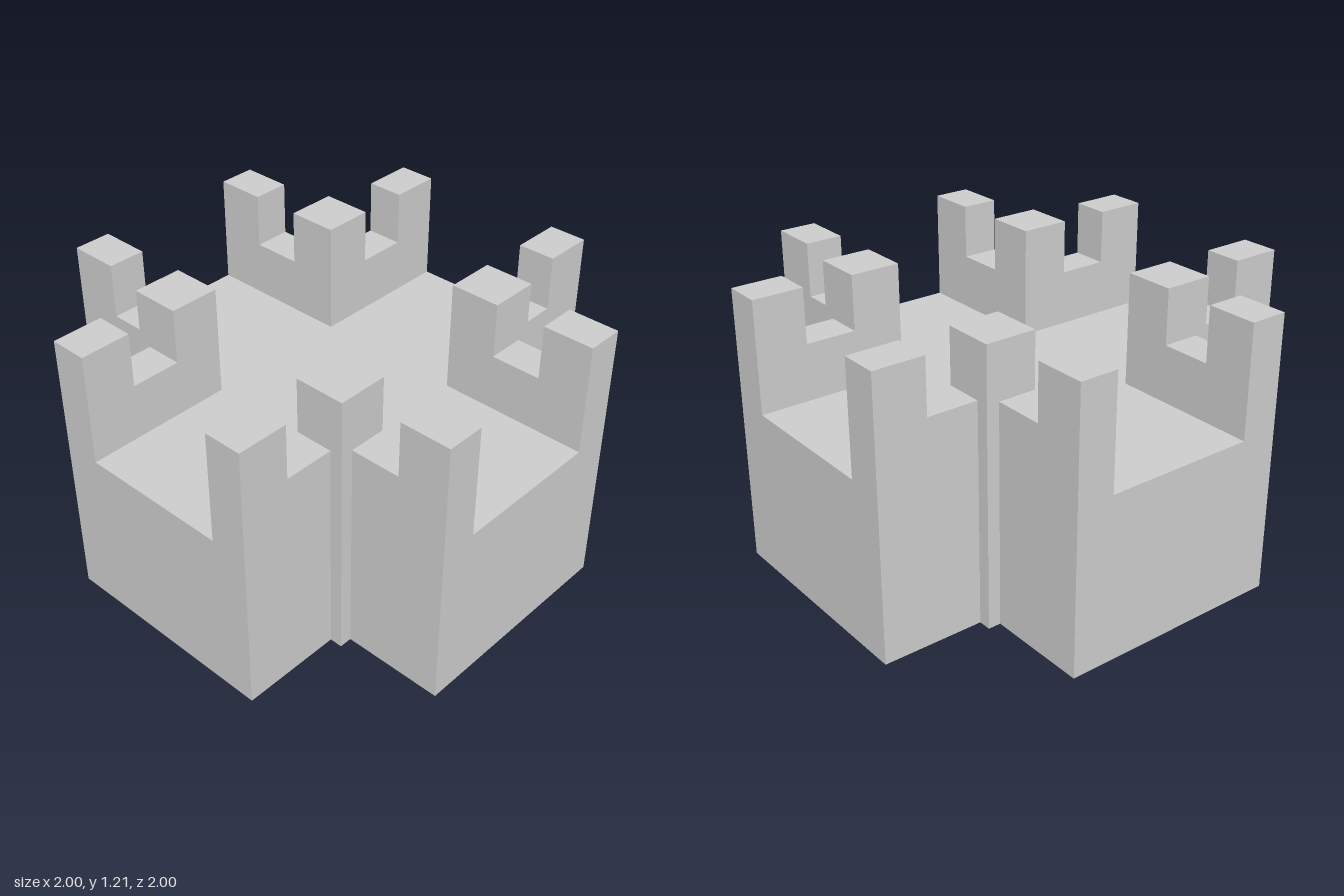
import * as THREE from 'three';

const DECK = 1 / 3, ARM = 0.5, PIER = 5 / 9, GAP = 7 / 9;
const HEIGHT = { deck: 0.72, crenels: 0.967, endMerlons: 1.207, cornerPiers: 1.207 };

// Which part of the castle stands on a point of the plan (same in all eight octants)
function partAt(x, z) {
  const far = Math.max(Math.abs(x), Math.abs(z));
  const near = Math.min(Math.abs(x), Math.abs(z));
  if (far > 1) return null;
  if (near < DECK) return 'deck';
  if (far < PIER) return 'cornerPiers';
  if (near > ARM) return null;
  return far < GAP ? 'crenels' : 'endMerlons';
}

export function createModel() {
  const group = new THREE.Group();
  group.name = 'castle';
  const material = new THREE.MeshStandardMaterial({
    color: 0xcccccc, flatShading: true, side: THREE.DoubleSide,
  });
  const faces = { outerWalls: [], deck: [], crenels: [], endMerlons: [], cornerPiers: [] };

  const quad = (part, a, b, c, d) => faces[part].push(...a, ...b, ...c, ...a, ...c, ...d);
  const wall = (part, p, q, low, high) => quad(part,
    [p[0], low, p[1]], [q[0], low, q[1]], [q[0], high, q[1]], [p[0], high, p[1]]);

  // Plan lines; the shell is open underneath
  const half = [DECK, ARM, PIER, GAP, 1];
  const lines = [...half.map((v) => -v).reverse(), ...half];
  const mid = (i) => {
    if (i < 0) return -2;
    if (i >= lines.length - 1) return 2;
    return (lines[i] + lines[i + 1]) / 2;
  };
  const steps = [[-1, 0], [0, 1], [1, 0], [0, -1]];

  for (let i = 0; i < lines.length - 1; i++) {
    for (let j = 0; j < lines.length - 1; j++) {
      const part = partAt(mid(i), mid(j));
      if (!part) continue;
      const top = HEIGHT[part];
      const [x0, x1, z0, z1] = [lines[i], lines[i + 1], lines[j], lines[j + 1]];
      const corners = [[x0, z0], [x0, z1], [x1, z1], [x1, z0]];

      // Top surface
      quad(part, ...corners.map(([x, z]) => [x, top, z]));

      // Upright faces down to each lower neighbour or to the ground
      steps.forEach(([di, dj], k) => {
        const p = corners[k], q = corners[(k + 1) % 4];
        const next = partAt(mid(i + di), mid(j + dj));
        if (!next) wall('outerWalls', p, q, 0, HEIGHT.deck);
        const low = next ? HEIGHT[next] : HEIGHT.deck;
        if (low < top) wall(part, p, q, low, top);
      });
    }
  }

  for (const [name, positions] of Object.entries(faces)) {
    const geometry = new THREE.BufferGeometry();
    geometry.setAttribute('position', new THREE.Float32BufferAttribute(positions, 3));
    geometry.computeVertexNormals();
    const mesh = new THREE.Mesh(geometry, material);
    mesh.name = name;
    group.add(mesh);
  }
  return group;
}
